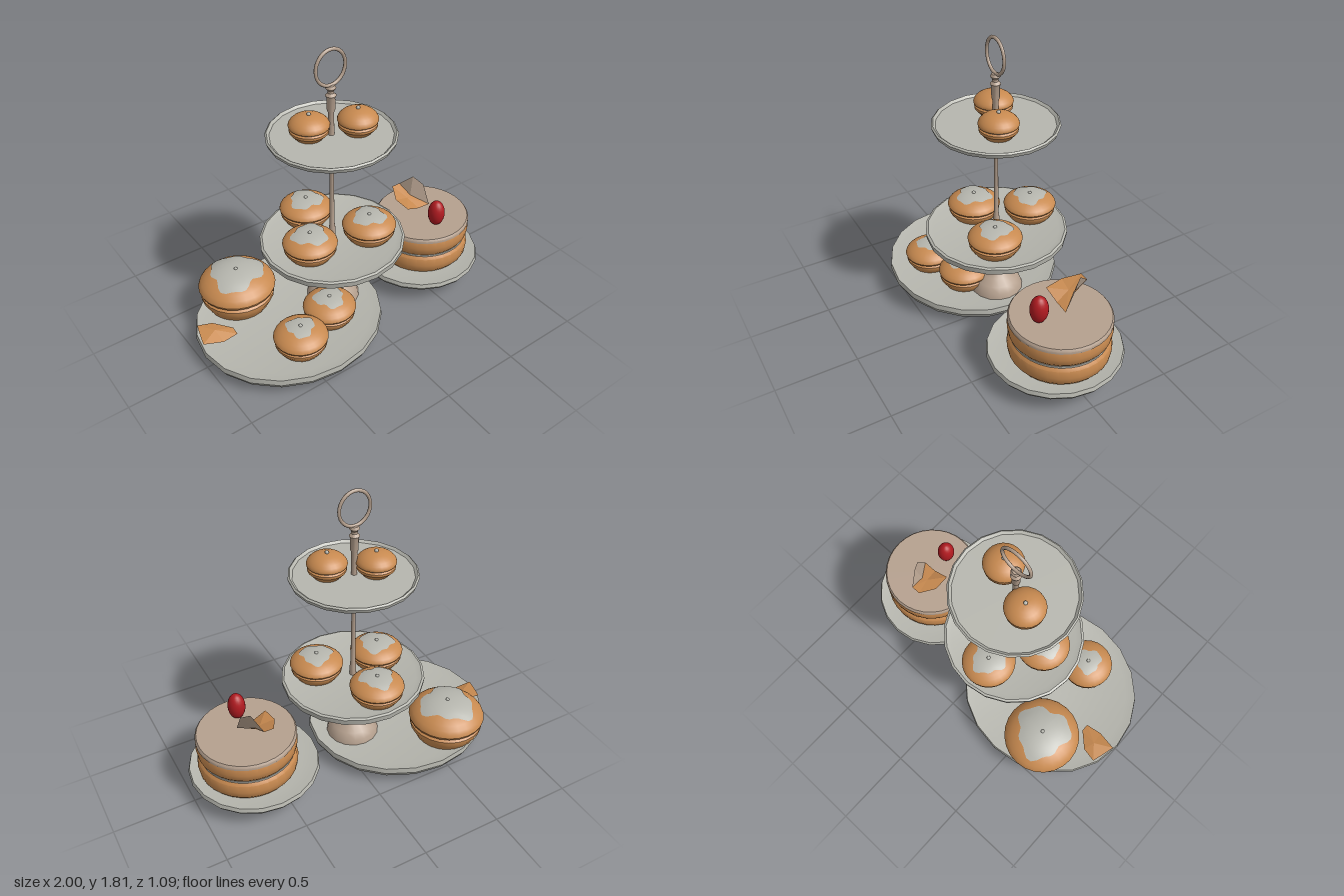
import * as THREE from 'three';
import { toCreasedNormals } from 'three/addons/utils/BufferGeometryUtils.js';

const mat = (name, color, side = THREE.FrontSide) => {
  const m = new THREE.MeshStandardMaterial({ color, side });
  m.name = name;
  return m;
};

export function createModel() {
  const root = new THREE.Group();
  root.name = 'cakeStand';

  const china = mat('china', 0xb6b6ae);
  const metal = mat('warmMetal', 0xb5a08e, THREE.DoubleSide);
  const pastry = mat('pastry', 0xc88a50, THREE.DoubleSide);
  const red = mat('berryRed', 0xb01a20);

  const add = (parent, name, geometry, material, x = 0, y = 0, z = 0) => {
    const mesh = new THREE.Mesh(geometry, material);
    mesh.name = name;
    mesh.position.set(x, y, z);
    parent.add(mesh);
    return mesh;
  };
  const lathe = (points, segments) => toCreasedNormals(
    new THREE.LatheGeometry(points.map(([r, y]) => new THREE.Vector2(r, y)), segments), 0.6);

  // Plates: profile runs from the underside centre, round the rim, to the floor centre
  const plate = (name, x, y, points, stretch) => {
    add(root, name, lathe(points, 20), china, x, y, 0).scale.x = stretch;
  };
  plate('servingPlate', -0.42, 0, [[0, 0], [0.35, 0], [0.37, 0.03], [0.45, 0.04], [0.53, 0.055],
    [0.545, 0.085], [0.54, 0.118], [0.525, 0.115], [0.48, 0.103], [0, 0.1]], 1.07);
  plate('cakePlate', 0.6, 0.065, [[0, 0], [0.26, 0], [0.28, 0.02], [0.395, 0.04],
    [0.408, 0.06], [0.4, 0.085], [0.36, 0.078], [0.3, 0.07], [0, 0.07]], 0.98);
  plate('middleTier', -0.09, 0.51, [[0, 0], [0.41, 0], [0.43, 0.015],
    [0.434, 0.05], [0.42, 0.056], [0.385, 0.045], [0, 0.045]], 1.015);
  plate('topTier', -0.087, 1.25, [[0, 0], [0.34, 0], [0.362, 0.012],
    [0.37, 0.035], [0.36, 0.044], [0.345, 0.03], [0, 0.03]], 1.01);

  // Stand: flared foot, pole with cups beneath the tiers, finial and ring handle
  add(root, 'standPole', lathe([[0.165, 0.1], [0.155, 0.135], [0.13, 0.17], [0.085, 0.205],
    [0.04, 0.24], [0.022, 0.27], [0.019, 0.38], [0.026, 0.42], [0.036, 0.45], [0.05, 0.495], [0.05, 0.512],
    [0.02, 0.53], [0.02, 0.62], [0.015, 0.66], [0.012, 1.12], [0.022, 1.14], [0.026, 1.17],
    [0.042, 1.21], [0.046, 1.252], [0.018, 1.27], [0.017, 1.42], [0.024, 1.44], [0.024, 1.51],
    [0.031, 1.525], [0.018, 1.54], [0.018, 1.555], [0.03, 1.57], [0.022, 1.585], [0, 1.59]], 16),
  metal, -0.09);
  add(root, 'ringHandle', new THREE.TorusGeometry(0.096, 0.01, 8, 32), metal, -0.09, 1.69, 0)
    .scale.y = 1.09;

  // Filled buns: lower cup, cream line, domed lid, wavy sugar glaze and a small bead
  const bun = (name, x, y, z, R, H, foot, glazeSize, seed) => {
    const g = new THREE.Group();
    g.name = name;
    g.position.set(x, y, z);
    root.add(g);
    const lidY = 0.56 * H;
    const dome = r => lidY + (H - lidY) * Math.pow(Math.max(0, 1 - Math.pow(r / R, 2.2)), 0.65);
    const lid = [[0.88 * R, 0.46 * H], [0.98 * R, 0.5 * H], [R, lidY]];
    for (const f of [0.97, 0.91, 0.8, 0.65, 0.45, 0.22, 0]) lid.push([f * R, dome(f * R)]);
    add(g, 'lowerBun', lathe([[0, 0], [foot * R, 0], [(foot + 0.96) / 2 * R, 0.14 * H],
      [0.95 * R, 0.27 * H], [0.96 * R, 0.38 * H], [0.88 * R, 0.44 * H], [0, 0.45 * H]], 24), pastry);
    add(g, 'creamFilling', new THREE.CylinderGeometry(0.88 * R, 0.88 * R, 0.06 * H, 24), metal, 0, 0.45 * H);
    add(g, 'lid', lathe(lid, 24), pastry);
    add(g, 'sugarBead', new THREE.SphereGeometry(0.012, 8, 6), china, 0, H + 0.003, 0);
    if (!glazeSize) return;

    // The glaze edge follows a wave round the lid
    const rows = [];
    for (let i = 6; i >= 0; i--) rows.push(new THREE.Vector2(glazeSize * R * i / 6, 0));
    const glaze = new THREE.LatheGeometry(rows, 36);
    const p = glaze.attributes.position;
    for (let i = 0; i < p.count; i++) {
      const a = Math.atan2(p.getZ(i), p.getX(i));
      const k = 1 + 0.13 * Math.sin(3 * a + seed) + 0.07 * Math.sin(7 * a + 2 * seed);
      const px = p.getX(i) * k, pz = p.getZ(i) * k;
      p.setXYZ(i, px, dome(Math.hypot(px, pz)) + 0.004, pz);
    }
    glaze.computeVertexNormals();
    add(g, 'sugarGlaze', glaze, china);
  };
  bun('largeBun', -0.605, 0.1, -0.3, 0.238, 0.25, 0.8, 0.68, 1);
  bun('plateBunLeft', -0.51, 0.1, 0.265, 0.163, 0.162, 0.78, 0.5, 2);
  bun('plateBunRight', -0.23, 0.1, 0.16, 0.163, 0.162, 0.78, 0.55, 3);
  bun('middleBunLeft', -0.285, 0.555, 0.05, 0.163, 0.15, 0.78, 0.62, 4);
  bun('middleBunRight', 0.1, 0.555, 0.115, 0.163, 0.15, 0.78, 0.58, 5);
  bun('middleBunBack', -0.11, 0.555, -0.25, 0.163, 0.15, 0.78, 0.6, 6);
  bun('topBunLeft', -0.203, 1.28, -0.05, 0.117, 0.14, 0.66, 0, 0);
  bun('topBunRight', 0.05, 1.28, 0.06, 0.117, 0.145, 0.66, 0, 0);

  // Two-layer cake with a thin cream line and flat icing
  const cake = new THREE.Group();
  cake.name = 'layerCake';
  cake.position.set(0.637, 0, -0.003);
  root.add(cake);
  const layer = [[0, 0], [0.28, 0], [0.298, 0.025], [0.304, 0.065], [0.298, 0.11], [0.28, 0.13], [0, 0.13]];
  for (const y of [0.138, 0.276]) add(cake, 'spongeLayer', lathe(layer, 32), pastry, 0, y, 0);
  add(cake, 'creamLine', new THREE.CylinderGeometry(0.285, 0.285, 0.012, 32), china, 0, 0.272, 0);
  add(cake, 'icing', lathe([[0.303, 0.385], [0.302, 0.4], [0.293, 0.412], [0, 0.412]], 32), metal);

  // Berry on the icing
  add(root, 'berry', new THREE.SphereGeometry(1, 20, 14), red, 0.63, 0.494, 0.137).scale.set(0.053, 0.088, 0.055);

  // Curled flakes: fans of flat facets
  const flake = (name, corners, material) => {
    const pts = [];
    for (let i = 1; i < corners.length - 1; i++) pts.push(...corners[0], ...corners[i], ...corners[i + 1]);
    const g = new THREE.BufferGeometry();
    g.setAttribute('position', new THREE.Float32BufferAttribute(pts, 3));
    g.computeVertexNormals();
    add(root, name, g, material);
  };
  flake('cakeFlake', [[0.58, 0.5, -0.09], [0.69, 0.455, 0], [0.6, 0.46, 0], [0.5, 0.5, 0.01],
    [0.49, 0.515, -0.1], [0.54, 0.545, -0.2], [0.6, 0.545, -0.2], [0.62, 0.5, -0.1], [0.69, 0.455, 0]], pastry);
  flake('cakeFlakeTip', [[0.61, 0.49, -0.1], [0.6, 0.545, -0.2], [0.645, 0.625, -0.12],
    [0.685, 0.58, -0.06], [0.69, 0.455, 0]], metal);
  flake('plateFlake', [[-0.88, 0.155, -0.1], [-0.99, 0.15, -0.04], [-0.97, 0.155, -0.12], [-0.95, 0.16, -0.19],
    [-0.86, 0.145, -0.17], [-0.77, 0.125, -0.08], [-0.77, 0.115, -0.03], [-0.87, 0.12, -0.015],
    [-0.99, 0.15, -0.04]], pastry);

  return root;
}
